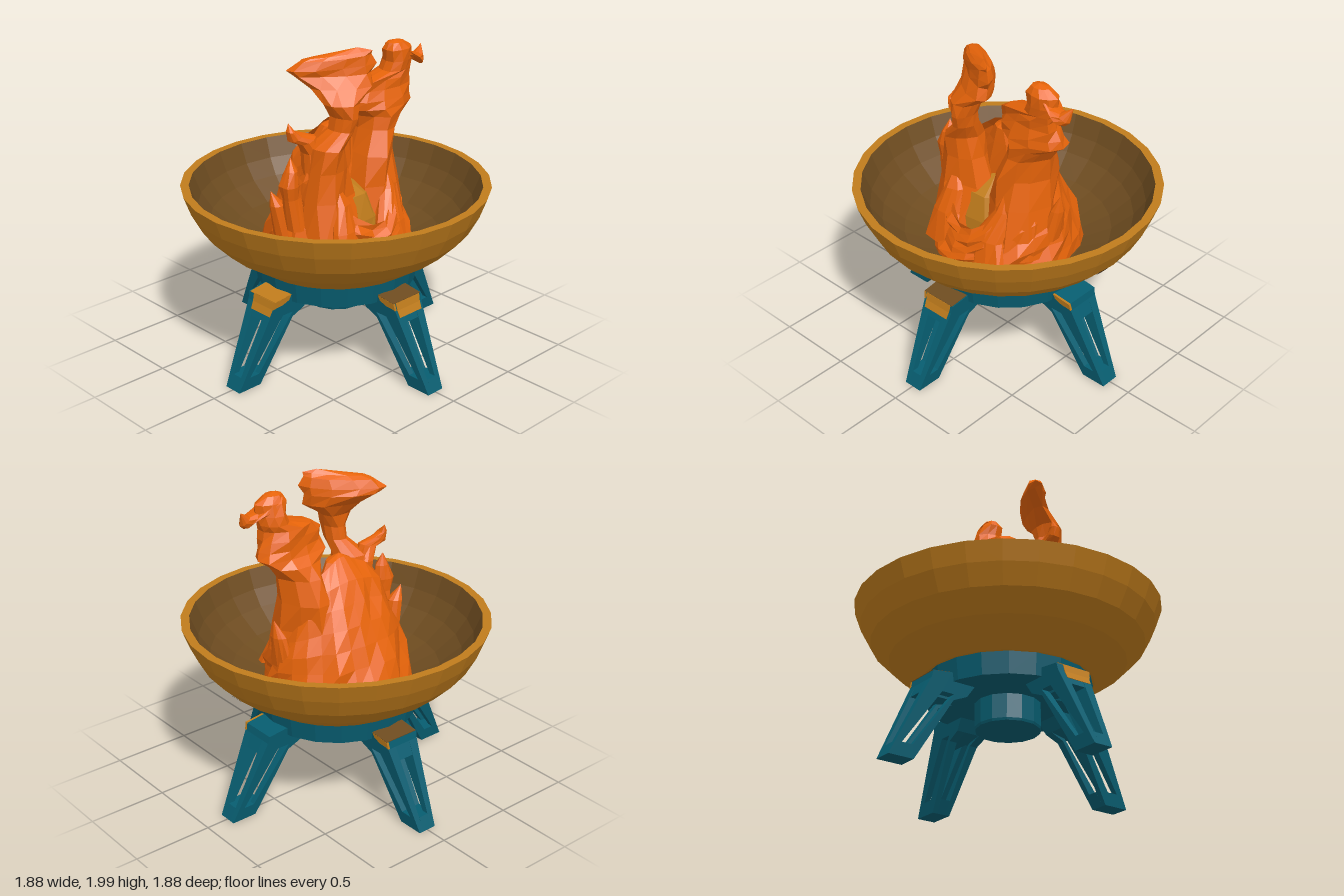
import * as THREE from 'three';

const material = (name, color, side = THREE.FrontSide) => {
  const m = new THREE.MeshStandardMaterial({ color, flatShading: true, side });
  m.name = name;
  return m;
};
const bronze = material('bronze', 0xc07c1c);
const soot = material('sooty brown', 0x6e4c20);
const teal = material('teal', 0x075d70);
const flame = material('flame orange', 0xec660a, THREE.DoubleSide);
const dark = material('dark spot', 0x3b2a1a, THREE.DoubleSide);

function add(parent, name, geometry, mat) {
  const mesh = new THREE.Mesh(geometry, mat);
  mesh.name = name;
  parent.add(mesh);
  return mesh;
}

// Small seeded generator for the ragged flame surface
let seed = 7;
const rand = () => (seed = (seed * 16807) % 2147483647) / 2147483647;
const jitter = (amount) => 1 + (rand() - 0.5) * 2 * amount;

// Skin of rows x n points, closed around; point(row, k) returns [x, y, z]
function skin(rows, n, point) {
  const pos = [], index = [];
  for (let i = 0; i < rows; i++) for (let k = 0; k < n; k++) pos.push(...point(i, k));
  for (let i = 0; i < rows - 1; i++) {
    for (let k = 0; k < n; k++) {
      const a = i * n + k, b = i * n + (k + 1) % n, c = a + n, d = b + n;
      index.push(a, c, b, b, c, d);
    }
  }
  const g = new THREE.BufferGeometry();
  g.setAttribute('position', new THREE.Float32BufferAttribute(pos, 3));
  g.setIndex(index);
  g.computeVertexNormals();
  return g;
}

// Flame tongue through rings [x, y, z, rx, rz, yaw, tilt]; tilt raises the +x end
function tongue(rings, n = 10, rough = 0.1) {
  return skin(rings.length, n, (i, k) => {
    const [x, y, z, rx, rz, yaw = 0, tilt = 0] = rings[i];
    const t = (k / n) * Math.PI * 2;
    const s = (1 + 0.07 * Math.sin(t * 3 + i * 0.7)) * jitter(rough);
    const u = Math.cos(t) * rx * s, v = Math.sin(t) * rz * s;
    return [x + u * Math.cos(yaw) - v * Math.sin(yaw), y + u * tilt,
      z + u * Math.sin(yaw) + v * Math.cos(yaw)];
  });
}

const polygon = (points) => points.map(([x, y]) => new THREE.Vector2(x, y));
const lathe = (points, n = 28) => new THREE.LatheGeometry(polygon(points), n);

// Extruded leg slice between two width fractions, narrowing toward the foot
const halfWidth = (y) => 0.06 + 0.105 * y;
function legSlice(points, z0, z1, hole) {
  const shape = new THREE.Shape(polygon(points));
  if (hole) shape.holes.push(new THREE.Path(polygon(hole)));
  const g = new THREE.ExtrudeGeometry(shape, { depth: z1 - z0, bevelEnabled: false }).translate(0, 0, z0);
  const p = g.attributes.position;
  for (let i = 0; i < p.count; i++) p.setZ(i, p.getZ(i) * halfWidth(p.getY(i)));
  g.computeVertexNormals();
  return g;
}

const legOutline = [[0.69, 0.01], [0.855, 0.01], [0.62, 0.5], [0.61, 0.545], [0.485, 0.56], [0.32, 0.515], [0.37, 0.44], [0.46, 0.4]];
const legWindow = [[0.705, 0.09], [0.775, 0.09], [0.54, 0.435], [0.46, 0.435], [0.487, 0.4]];
const shoulder = [[0.47, 0.42], [0.655, 0.42], [0.62, 0.5], [0.61, 0.545], [0.485, 0.56], [0.32, 0.515], [0.37, 0.44]];
const foot = [[0.69, 0.01], [0.855, 0.01], [0.817, 0.09], [0.642, 0.09]];
// Thin patches on the shoulder: its top, its cheek and its outer face
const patches = {
  legTopPatch: [[0.485, 0.558], [0.61, 0.543], [0.611, 0.548], [0.485, 0.564]],
  legCheekPatch: [[0.5, 0.53], [0.55, 0.511], [0.6, 0.508], [0.621, 0.502], [0.611, 0.546], [0.485, 0.561]],
  legOuterPatch: [[0.61, 0.5], [0.63, 0.458], [0.643, 0.458], [0.624, 0.501], [0.613, 0.546], [0.605, 0.545]],
};

// Each patch is [name, from, to, material] across the leg's width
function createLeg(angle, patchList) {
  const leg = new THREE.Group();
  leg.name = 'leg';
  add(leg, 'legSidePlate', legSlice(legOutline, 0.48, 1, legWindow), teal);
  add(leg, 'legSidePlate', legSlice(legOutline, -1, -0.48, legWindow), teal);
  add(leg, 'legShoulder', legSlice(shoulder, -0.48, 0.48), teal);
  add(leg, 'legFoot', legSlice(foot, -0.48, 0.48), teal);
  for (const [name, from, to, mat] of patchList) add(leg, name, legSlice(patches[name], from, to), mat);
  leg.rotation.y = angle;
  return leg;
}

export function createModel() {
  const model = new THREE.Group();
  model.name = 'fireBowl';

  // Bowl: outside, rim and sooty inside
  const bowl = new THREE.Group();
  bowl.name = 'bowl';
  model.add(bowl);
  add(bowl, 'bowlOutside', lathe([[0.3, 0.63], [0.52, 0.642], [0.72, 0.775], [0.835, 0.89], [0.9, 1.01], [0.942, 1.125]]), bronze);
  add(bowl, 'bowlRim', lathe([[0.942, 1.125], [0.89, 1.125]]), bronze);
  add(bowl, 'bowlInside', lathe([[0.89, 1.125], [0.84, 1.0], [0.77, 0.9], [0.64, 0.79], [0.46, 0.71], [0, 0.69]]), soot);
  const spot = add(bowl, 'bowlSpot', new THREE.CircleGeometry(0.043, 8), dark);
  spot.position.set(0.757, 0.806, 0);
  spot.lookAt(1.457, 0.106, 0);

  // Base ring and hub
  add(model, 'baseRing', new THREE.CylinderGeometry(0.51, 0.49, 0.135, 20), teal).position.y = 0.577;
  add(model, 'hub', lathe([[0, 0.345], [0.195, 0.345], [0.2, 0.36], [0.2, 0.52]], 14), teal);

  // Four legs: left, front, right, back
  model.add(createLeg(0, [['legCheekPatch', 0.9, 1.03, bronze]]));
  model.add(createLeg(-Math.PI / 2, [['legTopPatch', -0.95, 1.02, soot], ['legCheekPatch', 0.9, 1.03, bronze], ['legOuterPatch', -0.85, 0.85, bronze]]));
  model.add(createLeg(Math.PI, [['legTopPatch', -1.02, 0.9, bronze], ['legCheekPatch', -1.03, -0.9, bronze], ['legOuterPatch', -0.95, 0.6, bronze]]));
  model.add(createLeg(Math.PI / 2, [['legTopPatch', -0.95, 1.02, soot], ['legCheekPatch', 0.9, 1.03, bronze]]));

  // Fire body: a shell, low at the front and high at the back
  const fire = new THREE.Group();
  fire.name = 'fire';
  model.add(fire);
  const mix = (y, stops) => {
    let i = 1;
    while (i < stops.length - 1 && y > stops[i][0]) i++;
    const [y0, a] = stops[i - 1], [y1, b] = stops[i];
    return a + (b - a) * THREE.MathUtils.clamp((y - y0) / (y1 - y0), 0, 1);
  };
  const rows = 8, sides = 26;
  add(fire, 'fireBody', skin(rows, sides, (i, k) => {
    const t = (k / sides) * Math.PI * 2, front = Math.sin(t);
    const top = front > 0 ? 1.32 - 0.37 * front ** 3 : 1.32 - 0.2 * front;
    const y = 0.7 + (top - 0.7) * (i / (rows - 1));
    const r = mix(y, [[0.7, 0.46], [0.95, 0.425], [1.12, 0.37], [1.34, 0.3], [1.45, 0.22], [1.52, 0.13]]);
    const squash = mix(y, [[0.7, 1], [0.9, 0.93], [1.12, 0.78], [1.52, 0.75]]);
    const zc = mix(y, [[0.7, 0], [1.12, 0], [1.34, 0.04], [1.52, 0.05]]);
    const s = (i ? jitter(0.05) : 1) * (1 + 0.03 * Math.sin(t * 7 + i));
    return [Math.cos(t) * r * s, y, zc + front * r * squash * s];
  }), flame);

  // Glowing core seen through the front gap
  add(fire, 'fireCore', tongue([[0, 0.7, 0.05, 0.3, 0.28], [-0.01, 0.95, 0.07, 0.24, 0.23], [-0.03, 1.1, 0.07, 0.17, 0.17], [-0.03, 1.2, 0.05, 0, 0]], 10, 0.05), bronze);

  const tongues = {
    // Tall tongue with a broad, twisted head
    rightTongue: [[-0.2, 0.8, 0.12, 0.2, 0.24], [-0.21, 1.12, 0.11, 0.17, 0.16], [-0.21, 1.3, 0.12, 0.13, 0.14], [-0.21, 1.44, 0.15, 0.105, 0.12],
      [-0.15, 1.54, 0.2, 0.06, 0.09], [-0.14, 1.62, 0.21, 0.06, 0.09], [-0.145, 1.7, 0.2, 0.1, 0.09, 0.4], [-0.1, 1.78, 0.16, 0.18, 0.08, 0.5],
      [-0.13, 1.85, 0.1, 0.23, 0.08, 0.6], [-0.15, 1.89, 0.09, 0.265, 0.075, 0.6, 0.04], [-0.125, 1.945, 0.11, 0.225, 0.06, 0.6, 0.06],
      [-0.11, 1.965, 0.13, 0.18, 0.035, 0.6, 0.08], [-0.01, 2.0, 0.19, 0, 0]],
    // Wide tongue with a rounded shoulder, leaning outward
    leftTongue: [[0.2, 0.8, 0.06, 0.22, 0.28], [0.2, 1.12, 0.05, 0.17, 0.23], [0.215, 1.3, 0.045, 0.145, 0.21], [0.245, 1.45, 0.06, 0.125, 0.18],
      [0.285, 1.53, 0.08, 0.165, 0.15], [0.28, 1.58, 0.09, 0.23, 0.12], [0.275, 1.63, 0.1, 0.23, 0.11], [0.28, 1.69, 0.1, 0.21, 0.1],
      [0.29, 1.745, 0.1, 0.175, 0.095], [0.37, 1.785, 0.11, 0.095, 0.09], [0.39, 1.84, 0.12, 0.09, 0.08], [0.385, 1.91, 0.13, 0.1, 0.07],
      [0.37, 1.95, 0.13, 0.06, 0.045], [0.36, 1.965, 0.13, 0, 0]],
    leftTongueBeak: [[0.38, 1.89, 0.12, 0.06, 0.07, 0, -1], [0.45, 1.87, 0.13, 0.055, 0.06, 0, -1], [0.515, 1.825, 0.15, 0.045, 0.06, 0, -1], [0.56, 1.83, 0.14, 0.03, 0.04, 0, -0.9], [0.6, 1.89, 0.12, 0, 0]],
    // Low hump joining the tongues at the back
    backHump: [[0, 1.0, -0.08, 0.3, 0.2], [0, 1.25, -0.05, 0.22, 0.14], [0, 1.4, -0.03, 0.14, 0.1], [-0.01, 1.49, -0.01, 0.08, 0.07], [-0.02, 1.525, 0, 0, 0]],
    // Small curl and loose licks around the edge
    curl: [[-0.24, 1.25, 0.08, 0.09, 0.09], [-0.27, 1.4, 0.07, 0.06, 0.07], [-0.31, 1.48, 0.07, 0.06, 0.05, 0, 0.3], [-0.38, 1.51, 0.06, 0.045, 0.04, 0, 0.5], [-0.41, 1.55, 0.05, 0.025, 0.03], [-0.41, 1.595, 0.03, 0, 0]],
    sideLick: [[-0.4, 0.95, 0.07, 0.06, 0.07], [-0.43, 1.15, 0.07, 0.055, 0.05], [-0.435, 1.23, 0.07, 0.065, 0.06], [-0.425, 1.32, 0.07, 0.045, 0.04], [-0.425, 1.4, 0.06, 0, 0]],
    rightSpark: [[-0.43, 0.9, 0, 0.06, 0.08], [-0.47, 1.1, -0.01, 0.05, 0.05], [-0.51, 1.19, -0.02, 0, 0]],
    leftSpark: [[0.38, 0.9, 0.02, 0.06, 0.09], [0.42, 1.1, 0.02, 0.04, 0.05], [0.45, 1.21, 0.03, 0, 0]],
    frontLick: [[0.16, 0.75, 0.36, 0.15, 0.07], [0.14, 0.92, 0.32, 0.11, 0.06], [0.2, 1.1, 0.24, 0.06, 0.05], [0.2, 1.25, 0.22, 0, 0]],
    frontRightLick: [[-0.2, 0.75, 0.34, 0.15, 0.07], [-0.22, 0.95, 0.3, 0.1, 0.06], [-0.2, 1.1, 0.25, 0.06, 0.05], [-0.22, 1.24, 0.22, 0, 0]],
  };
  for (const [name, rings] of Object.entries(tongues)) add(fire, name, tongue(rings), flame);

  return model;
}
